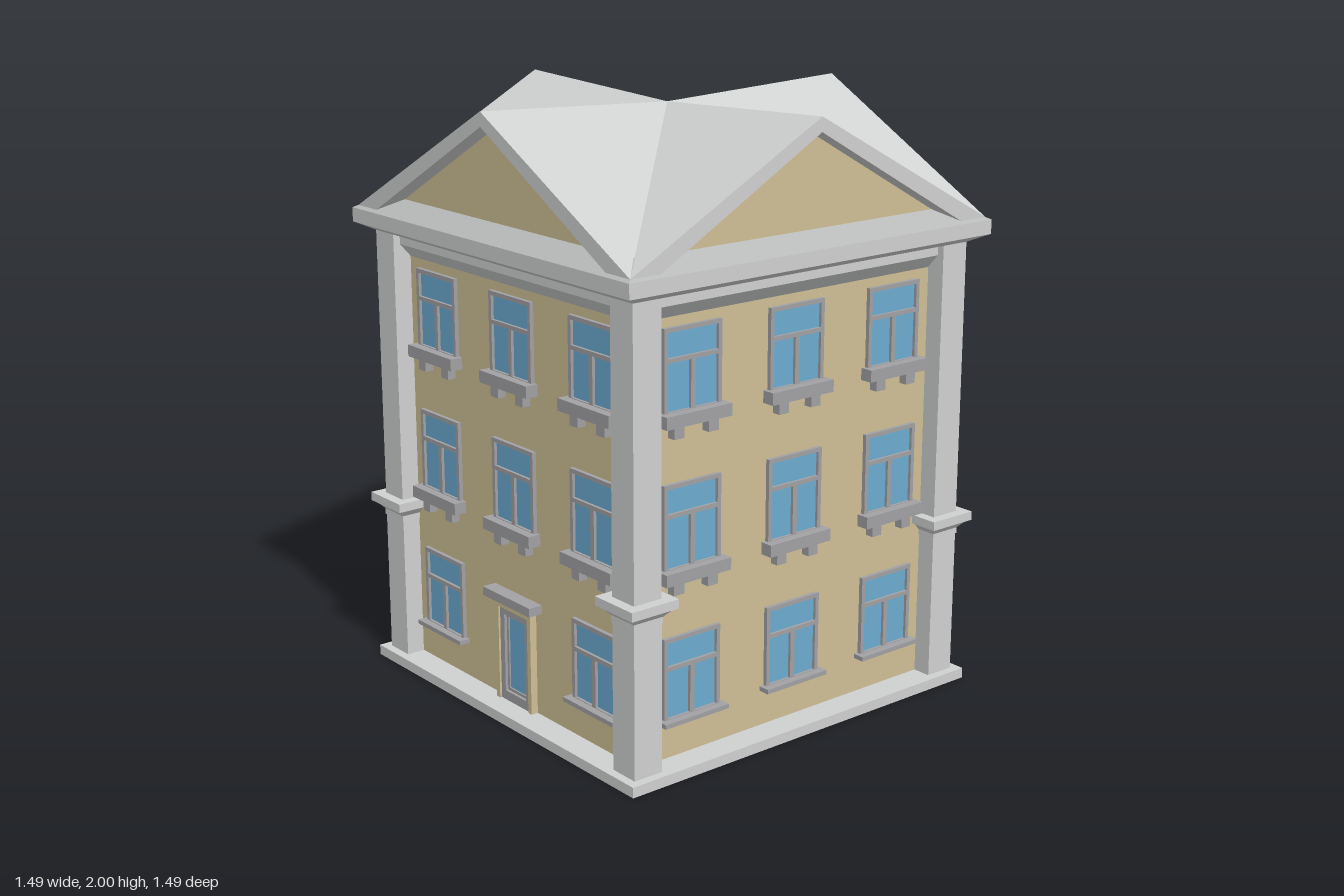
import * as THREE from 'three';

const mat = (name, color) => {
  const m = new THREE.MeshStandardMaterial({ color });
  m.name = name;
  return m;
};

export function createModel() {
  const trim = mat('light stone', 0xcfd1d0);
  const ledge = mat('ledge stone', 0xb8bab9);
  const plaster = mat('ochre plaster', 0xcfbf94);
  const frameGrey = mat('frame grey', 0xa2a2a4);
  const glass = mat('blue glass', 0x6cabd0);

  const WALL = 0.625; // distance of each wall face from the centre
  const model = new THREE.Group();
  model.name = 'house';

  const add = (parent, name, geo, material) => {
    const mesh = new THREE.Mesh(geo, material);
    mesh.name = name;
    parent.add(mesh);
    return mesh;
  };

  // Box given by its limits
  const box = (parent, name, material, x0, x1, y0, y1, z0, z1) =>
    add(parent, name, new THREE.BoxGeometry(x1 - x0, y1 - y0, z1 - z0), material)
      .position.set((x0 + x1) / 2, (y0 + y1) / 2, (z0 + z1) / 2);

  // Square block whose half width changes from h0 (bottom) to h1 (top)
  const square = (parent, name, material, h0, h1, y0, y1, x = 0, z = 0) => {
    const geo = new THREE.CylinderGeometry(h1 * Math.SQRT2, h0 * Math.SQRT2, y1 - y0, 4)
      .rotateY(Math.PI / 4).toNonIndexed();
    geo.computeVertexNormals();
    add(parent, name, geo, material).position.set(x, (y0 + y1) / 2, z);
  };

  // Flat faces from lists of 3 or 4 corners
  const faces = (polys) => {
    const pos = [];
    for (const p of polys)
      for (let i = 1; i < p.length - 1; i++) pos.push(...p[0], ...p[i], ...p[i + 1]);
    const geo = new THREE.BufferGeometry();
    geo.setAttribute('position', new THREE.Float32BufferAttribute(pos, 3));
    geo.computeVertexNormals();
    return geo;
  };

  // A polygon and its mirror image in x
  const both = (p) => [p, p.map(([x, y, z]) => [-x, y, z]).reverse()];

  // Rectangular frame with rectangular openings
  const rect = (P, x0, x1, y0, y1) =>
    new P([[x0, y0], [x1, y0], [x1, y1], [x0, y1]].map(([x, y]) => new THREE.Vector2(x, y)));
  const frame = (outer, holes, depth) => {
    const s = rect(THREE.Shape, ...outer);
    s.holes = holes.map((h) => rect(THREE.Path, ...h));
    return new THREE.ExtrudeGeometry(s, { depth, bevelEnabled: false });
  };

  const addWindow = (parent, x, bottom, top, balcony) => {
    const g = new THREE.Group();
    g.name = 'window';
    g.position.set(x, 0, WALL);
    parent.add(g);
    const bar = top - 0.1;
    const geo = frame([-0.112, 0.112, bottom, top], [
      [-0.098, 0.098, bar + 0.007, top - 0.014],
      [-0.098, -0.009, bottom + 0.002, bar - 0.007],
      [0.009, 0.098, bottom + 0.002, bar - 0.007],
    ], 0.022);
    add(g, 'windowFrame', geo, frameGrey).position.z = -0.008;
    box(g, 'windowGlass', glass, -0.105, 0.105, bottom, top - 0.007, -0.002, 0.004);
    if (balcony) {
      box(g, 'windowSill', frameGrey, -0.128, 0.128, bottom - 0.04, bottom, -0.01, 0.045);
      for (const s of [-1, 1])
        box(g, 'sillBracket', frameGrey, s * 0.067 - 0.02, s * 0.067 + 0.02, bottom - 0.08, bottom - 0.04, -0.01, 0.03);
    } else {
      box(g, 'windowSill', frameGrey, -0.128, 0.128, bottom - 0.015, bottom, -0.01, 0.04);
    }
  };

  const addDoor = (parent) => {
    const g = new THREE.Group();
    g.name = 'door';
    g.position.z = WALL;
    parent.add(g);
    add(g, 'doorSurround', frame([-0.098, 0.098, 0.03, 0.39], [[-0.08, 0.08, 0.031, 0.36]], 0.025), plaster);
    add(g, 'doorFrame', frame([-0.08, 0.08, 0.03, 0.36], [[-0.057, 0.057, 0.067, 0.337]], 0.018), frameGrey);
    add(g, 'doorLeaf', frame([-0.057, 0.057, 0.067, 0.337], [[-0.047, 0.047, 0.077, 0.328]], 0.008), frameGrey);
    box(g, 'doorGlass', glass, -0.05, 0.05, 0.07, 0.33, -0.003, 0.003);
    box(g, 'doorLintel', frameGrey, -0.13, 0.13, 0.39, 0.42, -0.01, 0.05);
  };

  // Core, plinth and cornice
  square(model, 'plinth', trim, 0.72, 0.72, 0, 0.035);
  square(model, 'walls', plaster, WALL, WALL, 0.035, 1.53);
  square(model, 'friezeSlope', trim, WALL, 0.665, 1.445, 1.49);
  square(model, 'frieze', trim, 0.665, 0.665, 1.49, 1.526);
  square(model, 'corniceSlope', trim, 0.69, 0.745, 1.525, 1.552);
  square(model, 'cornice', trim, 0.745, 0.745, 1.552, 1.6);
  square(model, 'corniceTop', ledge, 0.745, 0.655, 1.6, 1.647);

  // Corner pillars with a moulded collar
  for (const sx of [-1, 1]) for (const sz of [-1, 1]) {
    const p = new THREE.Group();
    p.name = 'cornerPillar';
    p.position.set(sx * 0.637, 0, sz * 0.637);
    model.add(p);
    square(p, 'pillarShaft', trim, 0.053, 0.053, 0.035, 1.53);
    square(p, 'collarNeck', trim, 0.056, 0.056, 0.525, 0.546);
    square(p, 'collarSlope', trim, 0.056, 0.082, 0.545, 0.573);
    square(p, 'collarSlab', trim, 0.09, 0.09, 0.573, 0.603);
  }

  // Four facades, each with its gable and its share of the roof
  const E = 0.73, G = 0.66;
  const centre = [0, 1.967, 0], peak = [0, 2, E], corner = [E, 1.608, E];
  const inPeak = [0, 1.953, E], inFoot = [0.617, 1.608, E];
  const backPeak = [0, 1.953, G - 0.005], backFoot = [0.56, 1.64, G - 0.005];
  ['front', 'left', 'back', 'right'].forEach((side, i) => {
    const f = new THREE.Group();
    f.name = side + 'Facade';
    f.rotation.y = i * Math.PI / 2;
    model.add(f);
    for (const x of [-0.42, 0, 0.42]) {
      addWindow(f, x, 1.155, 1.415, true);
      addWindow(f, x, 0.66, 0.93, true);
      if (x === 0 && i % 2 === 0) addDoor(f);
      else addWindow(f, x, 0.17, 0.437, false);
    }
    add(f, 'gableWall', faces([[[-0.58, 1.635, G], [0.58, 1.635, G], [0, 1.956, G]]]), plaster);
    add(f, 'roofSlopes', faces(both([centre, peak, corner])), trim);
    add(f, 'gableVerge', faces(both([peak, inPeak, inFoot, corner])), trim);
    add(f, 'gableSoffit', faces(both([inPeak, backPeak, backFoot, inFoot])), trim);
  });

  return model;
}
